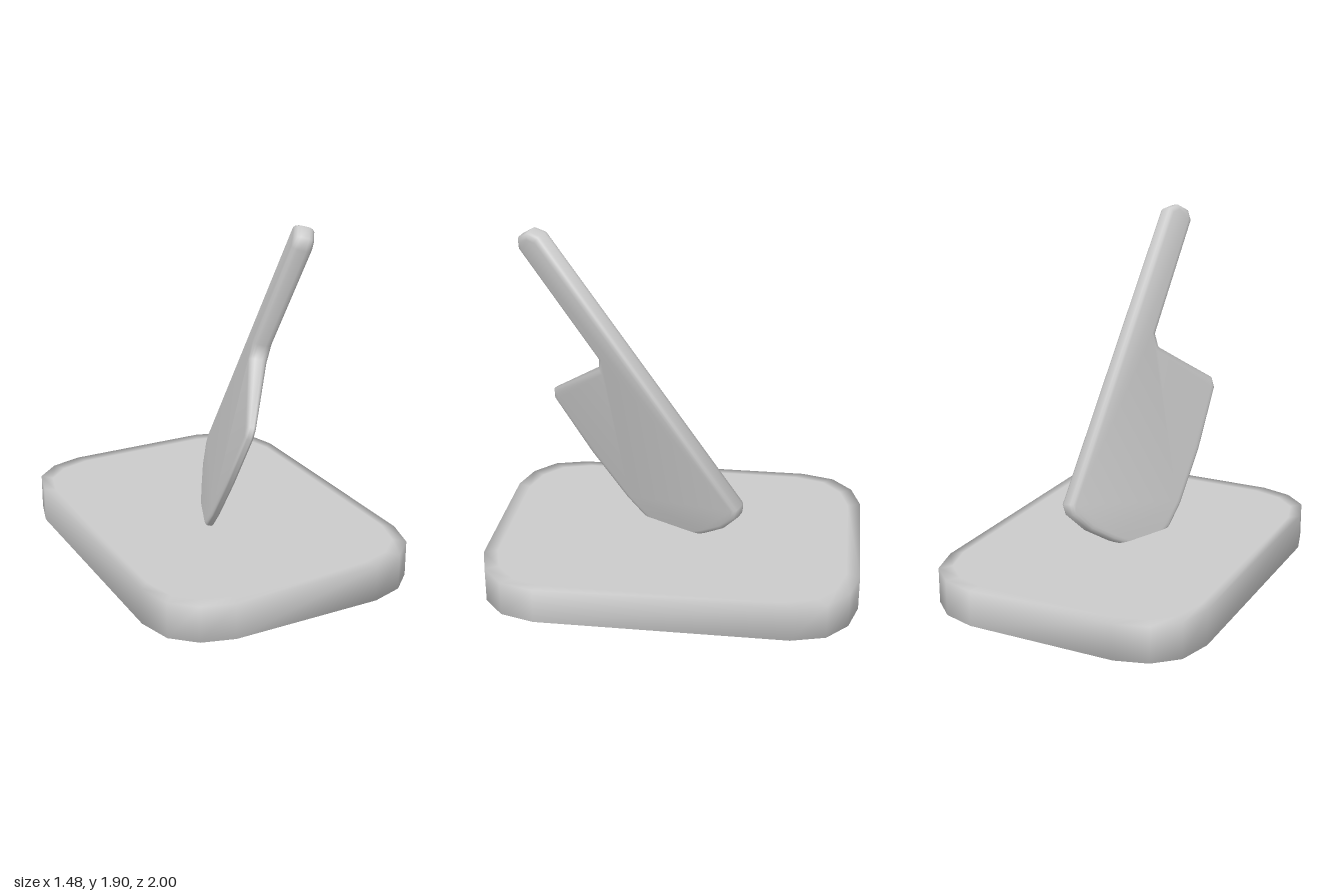
import * as THREE from 'three';
import { mergeVertices, toCreasedNormals } from 'three/addons/utils/BufferGeometryUtils.js';

const material = new THREE.MeshStandardMaterial({ color: 0xcccccc });

// Flat board with faceted round corners; shared vertices soften its rim
function boardGeometry() {
  const corner = [[0.74, 0.66], [0.69, 0.84], [0.57, 0.95], [0.4, 1]];
  const flip = [...corner].reverse();
  const outline = [
    ...corner,
    ...flip.map(([x, z]) => [-x, z]),
    ...corner.map(([x, z]) => [-x, -z]),
    ...flip.map(([x, z]) => [x, -z]),
  ];
  const n = outline.length;
  const height = 0.19;
  const rings = [[0.93, 0], [1, 0], [1, height], [0.93, height]];
  const pos = [];
  const index = [];
  for (const [s, y] of rings) for (const [x, z] of outline) pos.push(x * s, y, z * s);
  pos.push(0, 0, 0, 0, height, 0);
  const bottom = rings.length * n;
  const last = (rings.length - 1) * n;
  for (let i = 0; i < n; i++) {
    const j = (i + 1) % n;
    for (let r = 0; r < last; r += n) {
      index.push(r + i, r + n + i, r + j, r + j, r + n + i, r + n + j);
    }
    index.push(bottom, i, j, bottom + 1, last + j, last + i);
  }
  const geometry = new THREE.BufferGeometry();
  geometry.setAttribute('position', new THREE.Float32BufferAttribute(pos, 3));
  geometry.setIndex(index);
  geometry.computeVertexNormals();
  return geometry;
}

// Cleaver outline: x runs from blade heel to handle end, y from spine to edge
function cleaverGeometry() {
  const outline = [
    [0.15, -0.59], [1.91, -0.59], [1.96, -0.54], [1.965, -0.46], [1.92, -0.42],
    [1.22, -0.41], [1.165, -0.36], [1.17, 0.07], [1.125, 0.11],
    [0.75, 0.135], [0.42, 0.125], [0.28, 0.1], [0.15, 0.04],
    [0.085, -0.08], [0.07, -0.25], [0.07, -0.41], [0.105, -0.55],
  ].map(([a, b]) => new THREE.Vector2(a, b));
  const geometry = new THREE.ExtrudeGeometry(new THREE.Shape(outline), {
    depth: 0.04, bevelThickness: 0.03, bevelSize: 0.03, bevelOffset: -0.03, bevelSegments: 3,
  });
  geometry.translate(0, 0, -0.02);
  // Thin the blade towards the cutting edge
  const p = geometry.attributes.position;
  for (let i = 0; i < p.count; i++) {
    const t = THREE.MathUtils.smoothstep(p.getY(i), -0.5, 0.14);
    p.setZ(i, p.getZ(i) * (1 - 0.55 * t));
  }
  geometry.deleteAttribute('normal');
  geometry.deleteAttribute('uv');
  return toCreasedNormals(mergeVertices(geometry, 1e-4), 1.1);
}

export function createModel() {
  const model = new THREE.Group();
  model.name = 'cleaverInBoard';

  const board = new THREE.Mesh(boardGeometry(), material);
  board.name = 'choppingBoard';

  // Cleaver leaning out of the board, handle towards the front
  const along = new THREE.Vector3(-0.048, 0.81, 0.584).normalize();
  const side = along.clone().cross(new THREE.Vector3(-0.476, -0.553, 0.686)).normalize();
  const across = side.clone().cross(along);
  const cleaver = new THREE.Mesh(cleaverGeometry(), material);
  cleaver.name = 'cleaver';
  cleaver.quaternion.setFromRotationMatrix(new THREE.Matrix4().makeBasis(along, across, side));
  cleaver.position.copy(side).multiplyScalar(-0.078);

  model.add(board, cleaver);
  return model;
}
